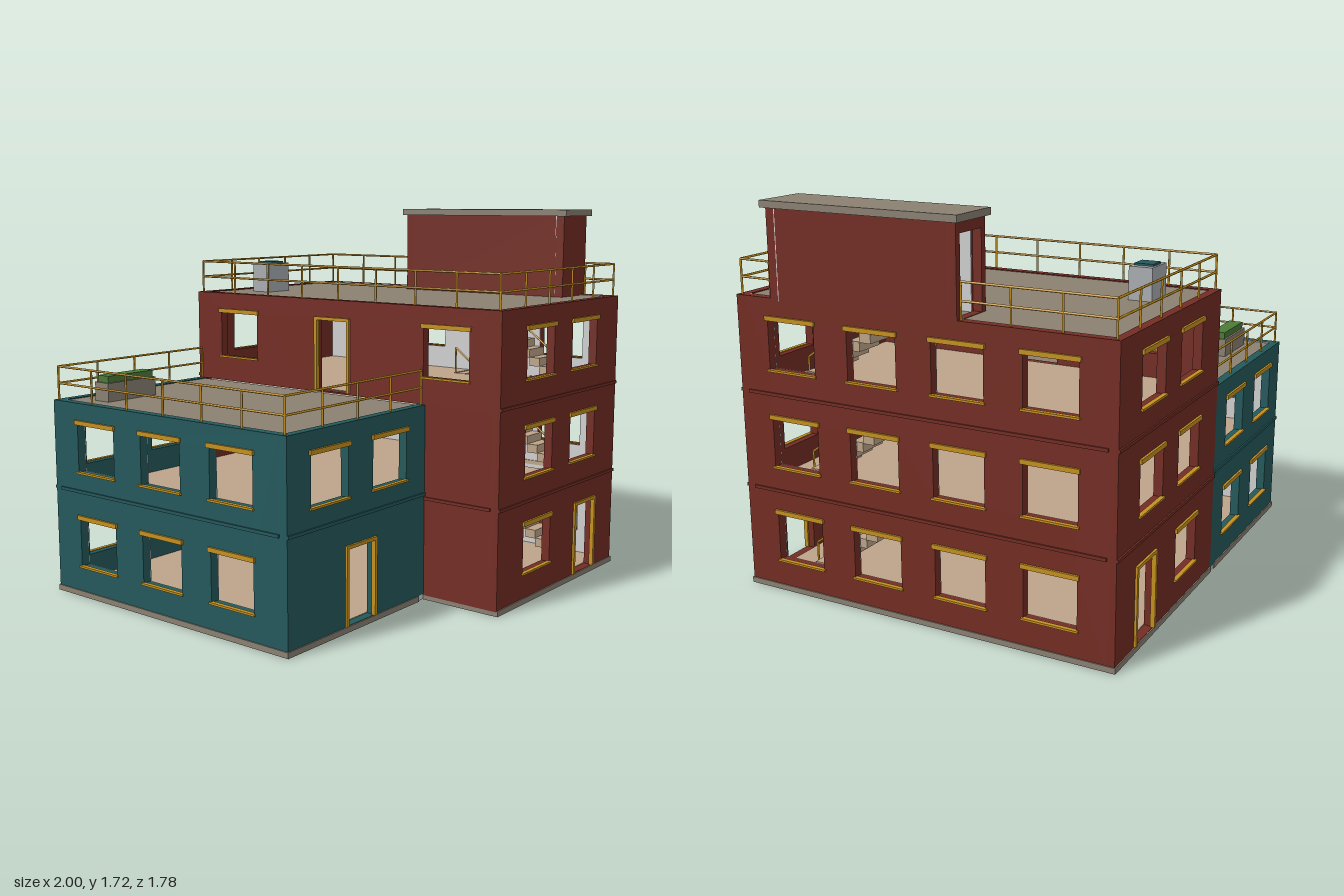
import * as THREE from 'three';

const mat = (name, color, side = THREE.FrontSide) => {
  const m = new THREE.MeshStandardMaterial({ color, side });
  m.name = name;
  return m;
};

const T = 0.04;        // wall thickness
const STOREY = 0.43;

export function createModel() {
  const red = mat('red wall', 0x732d24);
  const teal = mat('teal wall', 0x24595c);
  const gold = mat('gold trim', 0xc4901f);
  const concrete = mat('grey concrete', 0x8a8172);
  const plaster = mat('light plaster', 0xcfcfcf);
  const tan = mat('tan floor', 0xbda489);
  const metal = mat('light metal', 0xa9adb1);
  const green = mat('green plants', 0x4b7a38);

  const model = new THREE.Group();
  model.name = 'building';

  const group = (name, parent = model) => {
    const g = new THREE.Group();
    g.name = name;
    parent.add(g);
    return g;
  };
  const add = (parent, name, geo, m) => {
    const mesh = new THREE.Mesh(geo, m);
    mesh.name = name;
    parent.add(mesh);
    return mesh;
  };
  // Box given by its lower and upper limits
  const box = (parent, name, m, x0, x1, y0, y1, z0, z1) => {
    const mesh = add(parent, name, new THREE.BoxGeometry(x1 - x0, y1 - y0, z1 - z0), m);
    mesh.position.set((x0 + x1) / 2, (y0 + y1) / 2, (z0 + z1) / 2);
    return mesh;
  };
  const rect = (C, x0, x1, y0, y1) => new C([[x0, y0], [x1, y0], [x1, y1], [x0, y1]]
    .map(p => new THREE.Vector2(...p)));
  const bar = (parent, name, m, a, b, r) => {
    const d = b.clone().sub(a);
    const mesh = add(parent, name, new THREE.CylinderGeometry(r, r, d.length(), 6), m);
    mesh.position.copy(a).addScaledVector(d, 0.5);
    mesh.quaternion.setFromUnitVectors(new THREE.Vector3(0, 1, 0), d.normalize());
  };

  // Openings: u is the centre along the wall
  const windows = (us, floors) => floors.flatMap(f => us.map(u =>
    ({ u, w: 0.235, y0: 0.14 + f * STOREY, y1: 0.36 + f * STOREY })));
  const door = (u, f = 0) => ({ u, w: 0.19, y0: 0.027 + f * STOREY, y1: 0.36 + f * STOREY, door: true });

  // Wall with openings, trim and string courses; angle turns its outside from +z
  const facade = (name, angle, dist, u0, u1, y0, y1, m, openings = [], bands = [], lined = false) => {
    const g = group(name);
    g.rotation.y = angle;
    const panel = (label, depth, z, material) => {
      const s = rect(THREE.Shape, u0, u1, y0, y1);
      s.holes = openings.map(o => rect(THREE.Path, o.u - o.w / 2, o.u + o.w / 2, o.y0, o.y1));
      const geo = new THREE.ExtrudeGeometry(s, { depth, bevelEnabled: false });
      add(g, label, geo.translate(0, 0, z), material);
    };
    panel('wall', T, dist - T, m);
    if (lined) panel('plasterLining', 0.004, dist - T - 0.004, plaster);
    for (const o of openings) {
      if (o.plain) continue;
      const a = o.u - o.w / 2, b = o.u + o.w / 2, n0 = dist - 0.01, n1 = dist + 0.01;
      if (o.door) {
        box(g, 'doorJamb', gold, a - 0.008, a + 0.008, o.y0, o.y1, n0, n1);
        box(g, 'doorJamb', gold, b - 0.008, b + 0.008, o.y0, o.y1, n0, n1);
        box(g, 'doorHead', gold, a - 0.008, b + 0.008, o.y1 - 0.005, o.y1 + 0.01, n0, n1);
      } else {
        box(g, 'lintel', gold, a - 0.01, b + 0.01, o.y1 - 0.006, o.y1 + 0.014, n0, n1);
        box(g, 'sill', gold, a - 0.008, b + 0.008, o.y0 - 0.006, o.y0 + 0.003, n0, n1);
      }
    }
    for (const y of bands) box(g, 'stringCourse', m, u0, u1, y, y + 0.014, dist - 0.01, dist + 0.007);
  };

  const H = Math.PI / 2;
  const redBands = [0.456, 0.888], tealBand = [0.476];

  // Red three-storey block
  const redOpenings = s => [...windows([0.255 * s, 0.655 * s], [1, 2]), ...windows([0.255 * s], [0]), door(0.695 * s)];
  facade('redFrontWall', 0, 0.88, -0.075, 0.98, 0.02, 1.31, red, redOpenings(1), redBands);
  facade('redBackWall', Math.PI, 0.88, -0.98, 0.075, 0.02, 1.31, red, redOpenings(-1), redBands);
  facade('redLeftWall', H, 0.98, -0.84, 0.84, 0.02, 1.31, red,
    windows([-0.605, -0.205, 0.195, 0.6], [0, 1, 2]), redBands, true);
  facade('redRightLowerWall', -H, 0.075, 0.46, 0.84, 0.02, 0.88, red, [], [0.456]);
  facade('redRightUpperWall', -H, 0.075, -0.84, 0.84, 0.88, 1.31, red,
    [...windows([-0.605, 0.605], [2]), door(-0.02, 2)]);

  // Teal two-storey block
  facade('tealFrontWall', 0, 0.5, -0.99, -0.075, 0.02, 0.88, teal,
    [...windows([-0.73, -0.33], [1]), door(-0.53)], tealBand);
  facade('tealBackWall', Math.PI, 0.88, 0.075, 0.99, 0.02, 0.88, teal, windows([0.73, 0.33], [0, 1]), tealBand);
  facade('tealRightWall', -H, 0.99, -0.84, 0.46, 0.02, 0.88, teal,
    windows([-0.605, -0.2, 0.205], [0, 1]), tealBand, true);

  // Plinths and the joint between them
  const plinth = group('plinth');
  box(plinth, 'redPlinth', concrete, -0.075, 0.985, 0, 0.025, -0.885, 0.885);
  box(plinth, 'tealPlinth', concrete, -0.995, -0.115, 0, 0.025, -0.885, 0.505);
  box(plinth, 'joint', plaster, -0.115, -0.075, 0.002, 0.025, -0.88, 0.5);

  // Slabs: finish on top, plaster ceiling below, stair hole where given
  const slab = (name, m, x0, x1, z0, z1, top, hole) => {
    const g = group(name);
    for (const [label, y, depth, material] of [['topFinish', top - 0.02, 0.02, m], ['ceiling', top - 0.03, 0.01, plaster]]) {
      const s = rect(THREE.Shape, x0, x1, -z1, -z0);
      if (hole) s.holes.push(rect(THREE.Path, 0.785, 0.93, -0.66, -0.08));
      const geo = new THREE.ExtrudeGeometry(s, { depth, bevelEnabled: false });
      add(g, label, geo.rotateX(-H).translate(0, y, 0), material);
    }
  };
  for (let f = 0; f < 3; f++) slab('redFloor', tan, -0.035, 0.94, -0.84, 0.84, 0.03 + f * STOREY, f > 0);
  for (let f = 0; f < 2; f++) slab('tealFloor', tan, -0.95, -0.035, -0.84, 0.46, 0.03 + f * STOREY, false);
  slab('redRoof', concrete, -0.035, 0.94, -0.84, 0.84, 1.306, true);
  slab('tealRoof', concrete, -0.95, -0.075, -0.84, 0.46, 0.876, false);

  // Stair flights with handrails
  for (let f = 0; f < 3; f++) {
    const g = group('stairFlight'), y = 0.03 + f * STOREY;
    for (let i = 0; i < 11; i++) {
      const z = 0.68 - i * 0.055, top = y + (i + 1) * STOREY / 11 - 0.004;
      box(g, 'step', tan, 0.79, 0.93, top - 0.042, top, z - 0.055, z);
    }
    const foot = new THREE.Vector3(0.785, y, 0.67);
    const low = new THREE.Vector3(0.785, y + 0.13, 0.67);
    const high = new THREE.Vector3(0.785, y + 0.13 + STOREY, 0.09);
    bar(g, 'handrail', gold, low, high, 0.005);
    bar(g, 'handrailPost', gold, foot, low, 0.005);
    bar(g, 'handrailPost', gold, new THREE.Vector3(0.785, y + STOREY, 0.09), high, 0.005);
  }

  // Stair house on the roof, open at the back
  facade('stairHouseFront', 0, 0.7, 0.76, 0.98, 1.3, 1.685, red, [], [], true);
  facade('stairHouseBack', Math.PI, 0.2, -0.98, -0.76, 1.3, 1.685, red,
    [{ u: -0.87, w: 0.16, y0: 1.308, y1: 1.64, plain: true }]);
  facade('stairHouseLeft', H, 0.98, -0.66, 0.16, 1.3, 1.685, red, [], [], true);
  facade('stairHouseRight', -H, -0.76, -0.16, 0.66, 1.3, 1.685, red, [], [], true);
  box(model, 'stairHouseRoof', concrete, 0.74, 0.995, 1.685, 1.715, -0.215, 0.72);

  // Roof railings along a run of corner points
  const railing = (name, base, points) => {
    const g = group(name);
    for (let i = 0; i + 1 < points.length; i++) {
      const at = (p, y) => new THREE.Vector3(p[0], base + y, p[1]);
      const [a, b] = [points[i], points[i + 1]];
      for (const h of [0.075, 0.15]) bar(g, 'rail', gold, at(a, h), at(b, h), 0.005);
      const bays = Math.max(1, Math.round(Math.hypot(b[0] - a[0], b[1] - a[1]) / 0.21));
      for (let k = 0; k <= bays; k++) {
        const p = [a[0] + (b[0] - a[0]) * k / bays, a[1] + (b[1] - a[1]) * k / bays];
        bar(g, 'railPost', gold, at(p, -0.005), at(p, 0.15), 0.005);
      }
    }
  };
  railing('redRoofRailing', 1.31, [[0.965, 0.71], [0.965, 0.86], [-0.058, 0.86], [-0.058, -0.86], [0.965, -0.86], [0.965, -0.21]]);
  railing('tealRoofRailing', 0.88, [[-0.08, 0.48], [-0.975, 0.48], [-0.975, -0.86], [-0.08, -0.86]]);

  // Roof vent and planter
  const vent = group('roofVent');
  box(vent, 'ventBody', metal, 0.15, 0.3, 1.3, 1.447, -0.715, -0.61);
  box(vent, 'ventLid', teal, 0.185, 0.268, 1.447, 1.456, -0.705, -0.62);
  const planter = group('planter');
  box(planter, 'planterBox', concrete, -0.872, -0.59, 0.87, 0.96, -0.735, -0.648);
  box(planter, 'plants', green, -0.862, -0.598, 0.955, 0.99, -0.725, -0.658);

  return model;
}
